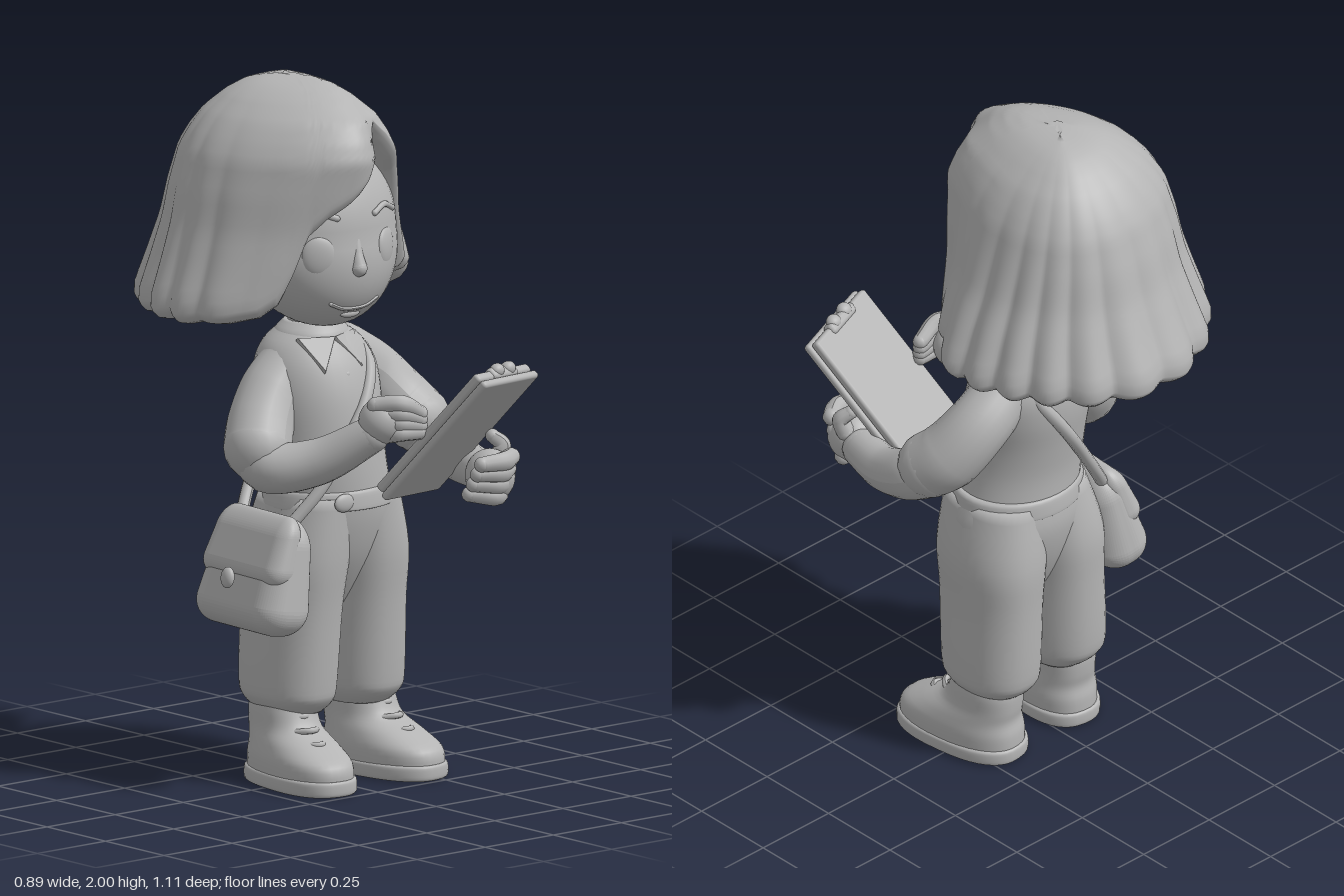
import * as THREE from 'three';
import { mergeVertices } from 'three/addons/utils/BufferGeometryUtils.js';
import { RoundedBoxGeometry } from 'three/addons/geometries/RoundedBoxGeometry.js';

const clay = new THREE.MeshStandardMaterial({ color: 0xb4b4b4 });
clay.name = 'grey clay';
const V = (p) => new THREE.Vector3(p[0], p[1], p[2]);

function add(parent, name, geometry) {
  const mesh = new THREE.Mesh(geometry, clay);
  mesh.name = name;
  parent.add(mesh);
  return mesh;
}

// Closed-around surface: rows go upward, columns run from +z towards +x
function surface(rows, cols, point) {
  const pos = [], index = [];
  for (let i = 0; i <= rows; i++)
    for (let j = 0; j <= cols; j++) pos.push(...point(i, ((j % cols) / cols) * Math.PI * 2));
  for (let i = 0; i < rows; i++)
    for (let j = 0; j < cols; j++) {
      const a = i * (cols + 1) + j, b = a + cols + 1;
      index.push(a, a + 1, b + 1, a, b + 1, b);
    }
  let g = new THREE.BufferGeometry();
  g.setAttribute('position', new THREE.Float32BufferAttribute(pos, 3));
  g.setIndex(index);
  g = mergeVertices(g, 1e-5);
  g.computeVertexNormals();
  return g;
}

// Linear lookup of a table whose first column is the key (ascending)
function lookup(table, key) {
  let k = 0;
  while (k < table.length - 2 && key > table[k + 1][0]) k++;
  const a = table[k], b = table[k + 1];
  const t = THREE.MathUtils.clamp((key - a[0]) / (b[0] - a[0]), 0, 1);
  return a.map((v, n) => v + (b[n] - v) * t);
}

// Stack of ellipses [y, cx, cz, rx, rz], smoothed and capped at both ends
function loft(rings, power = 1, cols = 40) {
  const steps = 4, all = [];
  for (let s = 0; s <= (rings.length - 1) * steps; s++) {
    const k = Math.min(Math.floor(s / steps), rings.length - 2), t = s / steps - k;
    const at = (n) => rings[THREE.MathUtils.clamp(n, 0, rings.length - 1)];
    all.push(rings[0].map((_, c) => {
      const [p, q, r, u] = [at(k - 1)[c], at(k)[c], at(k + 1)[c], at(k + 2)[c]];
      return q + 0.5 * t * (r - p + t * (2 * p - 5 * q + 4 * r - u + t * (3 * (q - r) + u - p)));
    }));
  }
  const flat = (r) => [r[0], r[1], r[2], 0, 0];
  const list = [flat(all[0]), ...all, flat(all[all.length - 1])];
  const bend = (v) => Math.sign(v) * Math.abs(v) ** power;
  return surface(list.length - 1, cols, (i, a) => {
    const [y, cx, cz, rx, rz] = list[i];
    return [cx + rx * bend(Math.sin(a)), y, cz + rz * bend(Math.cos(a))];
  });
}

// Tapered tube through points [x, y, z, radius] with rounded ends
function limb(parent, name, pts, sides = 14) {
  const group = new THREE.Group();
  group.name = name;
  const curve = new THREE.CatmullRomCurve3(pts.map(V)), n = pts.length * 6;
  const g = new THREE.TubeGeometry(curve, n, 1, sides), p = g.attributes.position;
  for (let i = 0; i <= n; i++) {
    const c = curve.getPointAt(i / n);
    const f = curve.getUtoTmapping(i / n) * (pts.length - 1);
    const k = Math.min(Math.floor(f), pts.length - 2);
    const r = THREE.MathUtils.lerp(pts[k][3], pts[k + 1][3], f - k);
    for (let j = 0; j <= sides; j++) {
      const id = i * (sides + 1) + j;
      const v = new THREE.Vector3().fromBufferAttribute(p, id).sub(c).multiplyScalar(r).add(c);
      p.setXYZ(id, v.x, v.y, v.z);
    }
  }
  g.computeVertexNormals();
  add(group, name + 'Tube', g);
  for (const e of [pts[0], pts[pts.length - 1]])
    add(group, name + 'End', new THREE.SphereGeometry(e[3], sides, 10)).position.copy(V(e));
  parent.add(group);
}

function blob(parent, name, at, radii) {
  const m = add(parent, name, new THREE.SphereGeometry(1, 28, 18));
  m.position.copy(V(at));
  m.scale.copy(V(radii));
  return m;
}

// Hair extents from its axis: [y, left -x, right +x, front, back]
const HAIR = [
  [1.3, 0.4, 0.39, 0.27, 0.42], [1.36, 0.42, 0.41, 0.28, 0.435], [1.4, 0.418, 0.408, 0.29, 0.432],
  [1.5, 0.385, 0.367, 0.32, 0.385], [1.6, 0.355, 0.32, 0.34, 0.342], [1.7, 0.335, 0.285, 0.365, 0.315],
  [1.8, 0.305, 0.25, 0.387, 0.28], [1.85, 0.275, 0.222, 0.37, 0.25], [1.9, 0.235, 0.185, 0.335, 0.21],
  [1.95, 0.175, 0.125, 0.255, 0.15], [1.975, 0.13, 0.085, 0.2, 0.105], [1.99, 0.09, 0.045, 0.14, 0.055], [2, 0.03, -0.03, 0.04, -0.04],
];
// Lower hair edge: [degrees from front towards +x, y]
const EDGE = [
  [-180, 1.37], [-90, 1.373], [-60, 1.38], [-45, 1.395], [-37, 1.43], [-33, 1.52], [-30, 1.62], [-22, 1.67], [-12, 1.705],
  [0, 1.755], [9, 1.81], [17, 1.87], [23, 1.89], [33, 1.845], [45, 1.755], [50, 1.61], [54, 1.46], [75, 1.43], [90, 1.378], [180, 1.37],
];

function hairGeometry() {
  const fold = [[0.3, 0.05], [0.6, 0.015], [0.8, -0.024], [0.89, -0.034], [0.95, -0.028], [0.985, -0.014]], outer = 30;
  return surface(fold.length + outer, 280, (i, a) => {
    const deg = a > Math.PI ? (a * 180) / Math.PI - 360 : (a * 180) / Math.PI;
    // Uneven rounded locks
    const wave = Math.sqrt(Math.sin(a * 10 + 0.8 * Math.sin(3 * a)) ** 2 + 0.02);
    const side = THREE.MathUtils.smoothstep(Math.abs(deg + 5), 45, 90);
    const edge = lookup(EDGE, deg)[1] - 0.012 * side * (wave - 0.5);
    let y = edge, scale = 1;
    if (i < fold.length) {
      scale = fold[i][0];
      y = edge + fold[i][1];
    } else y = 2 - (2 - edge) * (1 - (i - fold.length) / outer) ** 1.6;
    const ext = lookup(HAIR, i < fold.length ? edge : y);
    const low = THREE.MathUtils.clamp((1.98 - y) / 0.55, 0, 1);
    scale *= 1 + 0.06 * (wave - 0.65) * low * (0.1 + 0.9 * side);
    // Hair falls back at the parting, and the side lock tucks towards the cheek
    scale *= 1 - 0.14 * Math.min(1, low * 4) * Math.exp(-(((deg - 17) / 16) ** 2));
    scale *= 1 - 0.09 * low * Math.exp(-(((deg - 58) / 13) ** 2));
    // Extents blend between quadrants so the offset crown stays a single point
    const s = Math.sin(a), c = Math.cos(a);
    const crown = i === fold.length + outer;
    return crown ? [-0.05, 2, -0.08]
      : [-0.02 + scale * (s * (ext[1] + ext[2]) / 2 + (s * s) * (ext[2] - ext[1]) / 2), y,
        -0.12 + scale * (c * (ext[3] + ext[4]) / 2 + (c * c) * (ext[3] - ext[4]) / 2)];
  });
}

function buildHead(g) {
  const faceZ = (x, y) => -0.03 + 0.23 * Math.sqrt(Math.max(0, 1 - ((x + 0.01) / 0.25) ** 2 - ((y - 1.57) / 0.27) ** 2))
    + Math.max(0, 1.57 - y) * 0.25;
  // Skull with the jaw pushed forward
  const skull = new THREE.SphereGeometry(1, 48, 32).scale(0.25, 0.27, 0.23).translate(-0.01, 1.57, -0.03);
  const p = skull.attributes.position;
  for (let i = 0; i < p.count; i++) p.setZ(i, p.getZ(i) + Math.max(0, 1.57 - p.getY(i)) * 0.25);
  skull.computeVertexNormals();
  add(g, 'head', skull);
  add(g, 'hair', hairGeometry());
  limb(g, 'nose', [[-0.025, 1.57, 0.187, 0.012], [-0.03, 1.53, 0.195, 0.017], [-0.03, 1.49, 0.203, 0.025]]);
  const onFace = (pts, r) => pts.map(([x, y]) => [x, y, faceZ(x, y), r]);
  limb(g, 'mouth', onFace([[-0.1, 1.39], [-0.06, 1.373], [-0.02, 1.37], [0.02, 1.373], [0.06, 1.39]], 0.006), 8);
  blob(g, 'lowerLip', [-0.02, 1.352, faceZ(-0.02, 1.352) - 0.006], [0.035, 0.012, 0.012]);
  for (const s of [-1, 1]) {
    const x = -0.025 + s * 0.115;
    blob(g, 'eye', [x, 1.53, faceZ(x, 1.53) - 0.014], [0.05, 0.058, 0.018]).rotation.y = s * 0.5;
    limb(g, 'eyebrow', onFace([[x - s * 0.05, 1.635], [x, 1.65], [x + s * 0.05, 1.63]], 0.009), 8);
    blob(g, 'ear', [-0.01 + s * 0.235, 1.52, -0.01], [0.03, 0.06, 0.045]);
  }
  add(g, 'neck', loft([[1.2, 0.02, -0.06, 0.075, 0.075], [1.3, 0.015, -0.055, 0.065, 0.065], [1.42, 0.01, -0.04, 0.07, 0.07]]));
}

function buildClothes(g) {
  add(g, 'shirt', loft([
    [0.8, 0.05, -0.02, 0.185, 0.165], [0.9, 0.035, -0.02, 0.18, 0.165], [1, 0.03, -0.03, 0.178, 0.168],
    [1.1, 0.03, -0.045, 0.185, 0.168], [1.18, 0.03, -0.057, 0.18, 0.154], [1.24, 0.025, -0.062, 0.148, 0.125],
    [1.28, 0.02, -0.06, 0.095, 0.092]]));
  add(g, 'collarBand', loft([[1.25, 0.02, -0.058, 0.115, 0.108], [1.275, 0.02, -0.058, 0.104, 0.098], [1.3, 0.02, -0.06, 0.075, 0.075]]));
  for (const s of [-1, 1]) {
    const flap = new THREE.Shape([[0, 0], [s * 0.1, 0.025], [s * 0.065, -0.085]].map((q) => new THREE.Vector2(...q)));
    const m = add(g, 'collarFlap', new THREE.ExtrudeGeometry(flap, { depth: 0.012, bevelSize: 0.004, bevelThickness: 0.004, bevelSegments: 2 }));
    m.position.set(0.01, 1.255, 0.045);
    m.rotation.set(-0.65, s * 0.3, 0);
  }
  for (const y of [1.16, 1.08, 1]) blob(g, 'button', [0.02, y, 0.097 + (1.16 - y) * 0.26], [0.012, 0.012, 0.007]);
  // Trousers
  add(g, 'waistband', loft([[0.785, 0.05, -0.02, 0.196, 0.174], [0.79, 0.05, -0.02, 0.2, 0.178], [0.83, 0.05, -0.02, 0.195, 0.173], [0.84, 0.05, -0.02, 0.185, 0.165]]));
  blob(g, 'beltBuckle', [-0.03, 0.81, 0.142], [0.035, 0.026, 0.012]);
  add(g, 'hips', loft([[0.46, 0.053, -0.045, 0.04, 0.05], [0.54, 0.053, -0.042, 0.1, 0.1], [0.64, 0.055, -0.036, 0.18, 0.145], [0.74, 0.055, -0.03, 0.21, 0.169], [0.82, 0.05, -0.02, 0.192, 0.17]]));
  for (const s of [-1, 1]) {
    const x = (d) => 0.053 + s * d;
    add(g, 'trouserLeg', loft([
      [0.2, x(0.12), -0.05, 0.08, 0.1], [0.235, x(0.124), -0.05, 0.108, 0.138], [0.29, x(0.124), -0.052, 0.118, 0.152],
      [0.5, x(0.117), -0.045, 0.118, 0.162], [0.65, x(0.108), -0.037, 0.127, 0.17], [0.82, x(0.08), -0.02, 0.11, 0.155]], 0.9));
    // Shoes turned slightly outward
    const shoe = new THREE.Group();
    shoe.name = 'shoe';
    shoe.position.x = x(0.148);
    shoe.rotation.y = s * 0.13;
    add(shoe, 'sole', loft([[0, 0, 0.035, 0.106, 0.2], [0.008, 0, 0.035, 0.113, 0.206], [0.036, 0, 0.035, 0.113, 0.206], [0.044, 0, 0.035, 0.106, 0.2]], 0.8));
    add(shoe, 'upper', loft([[0.03, 0, 0.035, 0.107, 0.199], [0.08, 0, 0.032, 0.109, 0.194], [0.12, 0, 0.002, 0.1, 0.155],
      [0.16, 0, -0.04, 0.088, 0.118], [0.21, 0, -0.055, 0.084, 0.105], [0.25, 0, -0.055, 0.075, 0.095]], 0.85));
    [0.06, 0.09, 0.12].forEach((d, k) => limb(shoe, 'lace', [
      [-0.055, 0.19 - k * 0.035, d - 0.05, 0.008], [0, 0.197 - k * 0.033, d - 0.01 + k * 0.012, 0.009], [0.055, 0.19 - k * 0.035, d - 0.05, 0.008]], 8));
    g.add(shoe);
  }
}

function buildArms(g) {
  // Right arm, raised towards the board
  limb(g, 'rightSleeve', [[-0.07, 1.175, -0.06, 0.082], [-0.13, 1.11, -0.055, 0.09], [-0.19, 1.03, -0.03, 0.095], [-0.227, 0.975, 0, 0.096]], 20);
  limb(g, 'rightForearm', [[-0.22, 0.96, -0.01, 0.078], [-0.225, 0.925, 0.045, 0.075], [-0.14, 0.945, 0.155, 0.066], [-0.05, 1.03, 0.28, 0.052]], 18);
  blob(g, 'rightHand', [-0.025, 1.07, 0.3], [0.07, 0.066, 0.066]);
  for (let k = 0; k < 4; k++)
    limb(g, 'rightFinger', [[-0.06 + k * 0.01, 1.12 - k * 0.03, 0.31, 0.024], [-0.01, 1.125 - k * 0.028, 0.362 - k * 0.004, 0.026], [0.06, 1.09 - k * 0.018, 0.36, 0.022]], 10);
  // Left arm, supporting the board from below
  limb(g, 'leftSleeve', [[0.15, 1.18, -0.075, 0.085], [0.25, 1.11, -0.075, 0.09], [0.32, 1.02, -0.03, 0.097], [0.345, 0.98, 0.015, 0.094]], 20);
  limb(g, 'leftForearm', [[0.34, 0.97, 0, 0.078], [0.365, 0.93, 0.07, 0.075], [0.36, 0.89, 0.18, 0.064], [0.33, 0.88, 0.31, 0.056]], 18);
  blob(g, 'leftHand', [0.305, 0.88, 0.375], [0.068, 0.076, 0.074]);
  for (let k = 0; k < 4; k++)
    limb(g, 'leftFinger', [[0.34, 0.828 + k * 0.036, 0.375 + k * 0.016, 0.026], [0.29, 0.83 + k * 0.035, 0.415 + k * 0.012, 0.028], [0.22, 0.84 + k * 0.031, 0.385 + k * 0.018, 0.022]], 10);
  limb(g, 'leftThumb', [[0.345, 0.92, 0.36, 0.028], [0.355, 0.96, 0.37, 0.024], [0.335, 0.985, 0.35, 0.02]], 10);
}

function buildBoard(g) {
  const board = new THREE.Group();
  board.name = 'clipboard';
  const x = new THREE.Vector3(0.26, -0.02, -0.085).normalize(), up = new THREE.Vector3(0.13, 0.37, 0.3);
  const z = x.clone().cross(up).normalize();
  board.setRotationFromMatrix(new THREE.Matrix4().makeBasis(x, z.clone().cross(x), z));
  board.position.set(0.203, 1.007, 0.365);
  add(board, 'boardPlate', new RoundedBoxGeometry(0.29, 0.48, 0.024, 3, 0.01));
  add(board, 'paper', new RoundedBoxGeometry(0.28, 0.47, 0.028, 3, 0.01)).position.z = -0.028;
  add(board, 'clip', new RoundedBoxGeometry(0.13, 0.035, 0.04, 3, 0.014)).position.set(0, 0.225, -0.03);
  for (const s of [-1, 1]) blob(board, 'clipKnob', [s * 0.03, 0.235, -0.035], [0.024, 0.022, 0.02]);
  g.add(board);
}

function buildBag(g) {
  const bag = new THREE.Group();
  bag.name = 'bag';
  bag.position.set(-0.228, 0.62, -0.012);
  bag.rotation.set(0, -0.05, -0.14);
  // Wedge body and flap, both thinner towards the top
  const wedge = (geo) => {
    const p = geo.attributes.position;
    for (let i = 0; i < p.count; i++) {
      const t = THREE.MathUtils.clamp((p.getY(i) + 0.16) / 0.33, 0, 1);
      p.setX(i, p.getX(i) * (1 - 0.5 * t * t) + 0.03 * t);
      p.setZ(i, p.getZ(i) * (1 - 0.2 * t));
    }
    geo.computeVertexNormals();
    return geo;
  };
  add(bag, 'bagBody', wedge(new RoundedBoxGeometry(0.18, 0.33, 0.4, 8, 0.08)));
  add(bag, 'bagFlap', wedge(new RoundedBoxGeometry(0.12, 0.2, 0.4, 8, 0.055).translate(-0.04, 0.072, 0)));
  blob(bag, 'bagClasp', [-0.093, -0.02, 0], [0.016, 0.03, 0.024]);
  g.add(bag);
  limb(g, 'strap', [[-0.175, 0.75, -0.13], [-0.125, 0.82, -0.16], [-0.05, 0.93, -0.188], [0.04, 1.06, -0.212], [0.11, 1.17, -0.185],
    [0.135, 1.25, -0.08], [0.125, 1.19, 0.06], [0.07, 1.1, 0.12], [-0.02, 0.98, 0.14], [-0.1, 0.86, 0.125], [-0.17, 0.77, 0.09]].map((q) => [...q, 0.018]), 10);
}

export function createModel() {
  const model = new THREE.Group();
  model.name = 'figure';
  for (const build of [buildHead, buildClothes, buildArms, buildBoard, buildBag]) build(model);
  return model;
}
